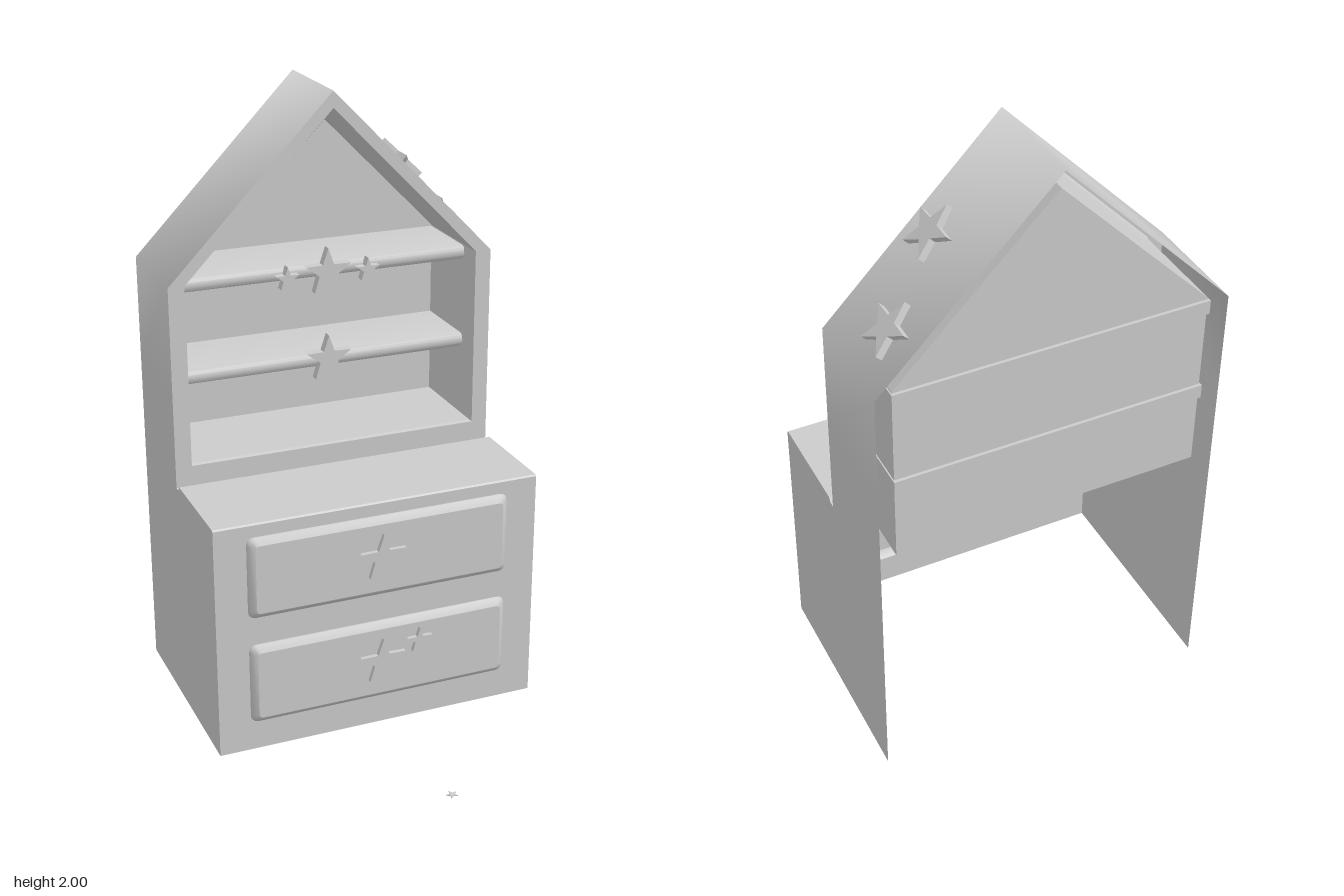
import * as THREE from 'three';
import { toCreasedNormals } from 'three/addons/utils/BufferGeometryUtils.js';

const grey = new THREE.MeshStandardMaterial({ color: 0xcccccc, side: THREE.DoubleSide });

const W = 0.545;        // half width of the cabinet
const BACK = -0.61;     // rear edge
const FRONT = 0.12;     // front of the drawer base
const HUTCH = -0.252;   // front of the hutch
const EAVE = 1.44;
const PANEL = -0.592;   // back panel of the hutch

// Surface through rows of points; creases sharper than the angle stay hard
function grid(rows, closed = false, crease = 0.3) {
  const n = rows[0].length, pos = rows.flat(2), index = [];
  for (let r = 0; r < rows.length - 1; r++) {
    for (let i = 0; i < (closed ? n : n - 1); i++) {
      const a = r * n + i, b = r * n + (i + 1) % n;
      index.push(a, b, b + n, a, b + n, a + n);
    }
  }
  const g = new THREE.BufferGeometry();
  g.setAttribute('position', new THREE.Float32BufferAttribute(pos, 3));
  g.setIndex(index);
  g.computeVertexNormals();
  return crease === null ? g : toCreasedNormals(g, crease);
}

const shapeOf = pts => new THREE.Shape(pts.map(([x, y]) => new THREE.Vector2(x, y)));

// House outline with vertical walls and a pointed top
const house = (w, bottom, eave, top) => [[-w, bottom], [w, bottom], [w, eave], [0, top], [-w, eave]];

// Rectangle with rounded corners as a list of points
function roundedRect(w, h, r, cy) {
  const pts = [];
  [[1, 1], [-1, 1], [-1, -1], [1, -1]].forEach(([sx, sy], q) => {
    for (let k = 0; k <= 3; k++) {
      const a = (q + k / 3) * Math.PI / 2;
      pts.push([sx * (w - r) + r * Math.cos(a), cy + sy * (h - r) + r * Math.sin(a)]);
    }
  });
  return pts;
}

// Five pointed star facing +z, its back at z = 0
function starGeometry(radius, depth) {
  const pts = [];
  for (let i = 0; i < 10; i++) {
    const r = i % 2 ? radius * 0.4 : radius;
    const a = Math.PI / 2 + i * Math.PI / 5;
    pts.push([r * Math.cos(a), r * Math.sin(a)]);
  }
  return new THREE.ExtrudeGeometry(shapeOf(pts), { depth, bevelEnabled: false });
}

export function createModel() {
  const group = new THREE.Group();
  const add = (name, geometry, parent = group) => {
    const m = new THREE.Mesh(geometry, grey);
    m.name = name;
    parent.add(m);
    return m;
  };

  // Side panels of the base
  const side = shapeOf([[BACK, 0], [FRONT, 0], [FRONT, 0.785], [FRONT - 0.005, 0.79],
    [-0.222, 0.79], [-0.232, 0.775], [BACK, 0.775]]);
  for (const s of [-1, 1]) {
    const g = new THREE.ShapeGeometry(side);
    g.rotateY(-Math.PI / 2);
    add(s > 0 ? 'leftSidePanel' : 'rightSidePanel', g).position.x = s * W;
  }

  // Worktop with a small groove before the hutch
  const topLine = [[FRONT, 0.785], [FRONT - 0.005, 0.79], [-0.222, 0.79], [-0.232, 0.775], [HUTCH, 0.775]];
  add('worktop', grid([-W, W].map(x => topLine.map(([z, y]) => [x, y, z]))));

  // Front panel, open where the drawers bulge out
  const drawerY = [0.2375, 0.6075];
  const front = shapeOf([[-W, 0], [W, 0], [W, 0.785], [-W, 0.785]]);
  for (const y of drawerY) front.holes.push(new THREE.Path(roundedRect(0.44, 0.1375, 0.022, y).map(p => new THREE.Vector2(...p))));
  add('frontPanel', new THREE.ShapeGeometry(front)).position.z = FRONT;

  // Hollow drawer fronts with bevelled rims
  drawerY.forEach((y, i) => {
    const drawer = new THREE.Group();
    drawer.name = i ? 'upperDrawer' : 'lowerDrawer';
    group.add(drawer);
    const rings = [[0, FRONT], [0.002, FRONT + 0.006], [0.018, FRONT + 0.021], [0.022, FRONT + 0.023]];
    const loop = inset => roundedRect(0.44 - inset, 0.1375 - inset, 0.022 - inset * 0.4, y);
    add('drawerRim', grid(rings.map(([d, z]) => loop(d).map(([x, v]) => [x, v, z])), true, 0.9), drawer);
    add('drawerFace', new THREE.ShapeGeometry(shapeOf(loop(0.022))), drawer).position.z = FRONT + 0.023;
  });

  // Outer skin of the hutch: walls and roof, softly shaded over the ridge
  const skin = [[W, 0.775], [W, 1.1], [W, EAVE], [0, 2], [-W, EAVE], [-W, 1.1], [-W, 0.775]];
  add('hutchShell', grid([HUTCH, BACK].map(z => skin.map(([x, y]) => [x, y, z])), false, null));

  // Front frame around the opening
  const frame = shapeOf(house(W, 0.775, EAVE, 2));
  frame.holes.push(new THREE.Path(house(0.492, 0.843, EAVE, 1.947).map(p => new THREE.Vector2(...p))));
  add('hutchFrame', new THREE.ShapeGeometry(frame)).position.z = HUTCH;

  // Lining of the hutch: floor, walls and ceiling, then the back panel
  const liner = [[0.492, 0.843, 1.947, HUTCH], [0.488, 0.847, 1.938, HUTCH - 0.012], [0.488, 0.847, 1.938, PANEL]];
  add('hutchLining', grid(liner.map(([w, b, t, z]) => house(w, b, EAVE, t).map(([x, y]) => [x, y, z])), true));
  add('backPanel', new THREE.ShapeGeometry(shapeOf(house(0.488, 0.847, EAVE, 1.938)))).position.z = PANEL;

  // Shelves with rounded front edges
  for (const y of [1.108, 1.413]) {
    const s = new THREE.Shape();
    const h = 0.023, r = 0.018, zf = -0.33;
    s.moveTo(-0.602, -h);
    s.lineTo(zf - r, -h);
    s.quadraticCurveTo(zf, -h, zf, 0);
    s.quadraticCurveTo(zf, h, zf - r, h);
    s.lineTo(-0.602, h);
    const g = new THREE.ExtrudeGeometry(s, { depth: 0.984, bevelEnabled: false, curveSegments: 4 });
    g.translate(0, 0, -0.492);
    g.rotateY(-Math.PI / 2);
    add('shelf', toCreasedNormals(g, 0.7)).position.y = y;
  }

  // Stars on shelves and drawers: x, y, z, radius
  const zs = -0.335, zd = FRONT + 0.022;
  for (const [x, y, z, r] of [
    [0, 1.41, zs, 0.08], [-0.137, 1.403, zs, 0.04], [0.137, 1.403, zs, 0.04], [0, 1.118, zs, 0.08],
    [0, 0.612, zd, 0.08], [0, 0.242, zd, 0.08], [0.127, 0.293, zd, 0.044],
  ]) add('star', starGeometry(r, z === zs ? 0.03 : 0.016)).position.set(x, y, z);

  // Stars lying on the left roof slope, pointing to the ridge
  const up = new THREE.Vector3(-W, 2 - EAVE, 0).normalize();
  const normal = new THREE.Vector3(2 - EAVE, W, 0).normalize();
  const turn = new THREE.Matrix4().makeBasis(new THREE.Vector3().crossVectors(up, normal), up, normal);
  for (const [x, z] of [[0.257, -0.36], [0.437, -0.478]]) {
    const m = add('roofStar', starGeometry(0.086, 0.024));
    m.quaternion.setFromRotationMatrix(turn);
    m.position.set(x, 2 - x * (2 - EAVE) / W, z);
  }

  // Tiny loose star on the ground
  const loose = add('looseStar', starGeometry(0.02, 0.003));
  loose.rotation.set(-Math.PI / 2, 0, 0.15);
  loose.position.set(0.043, 0, 0.592);

  return group;
}
